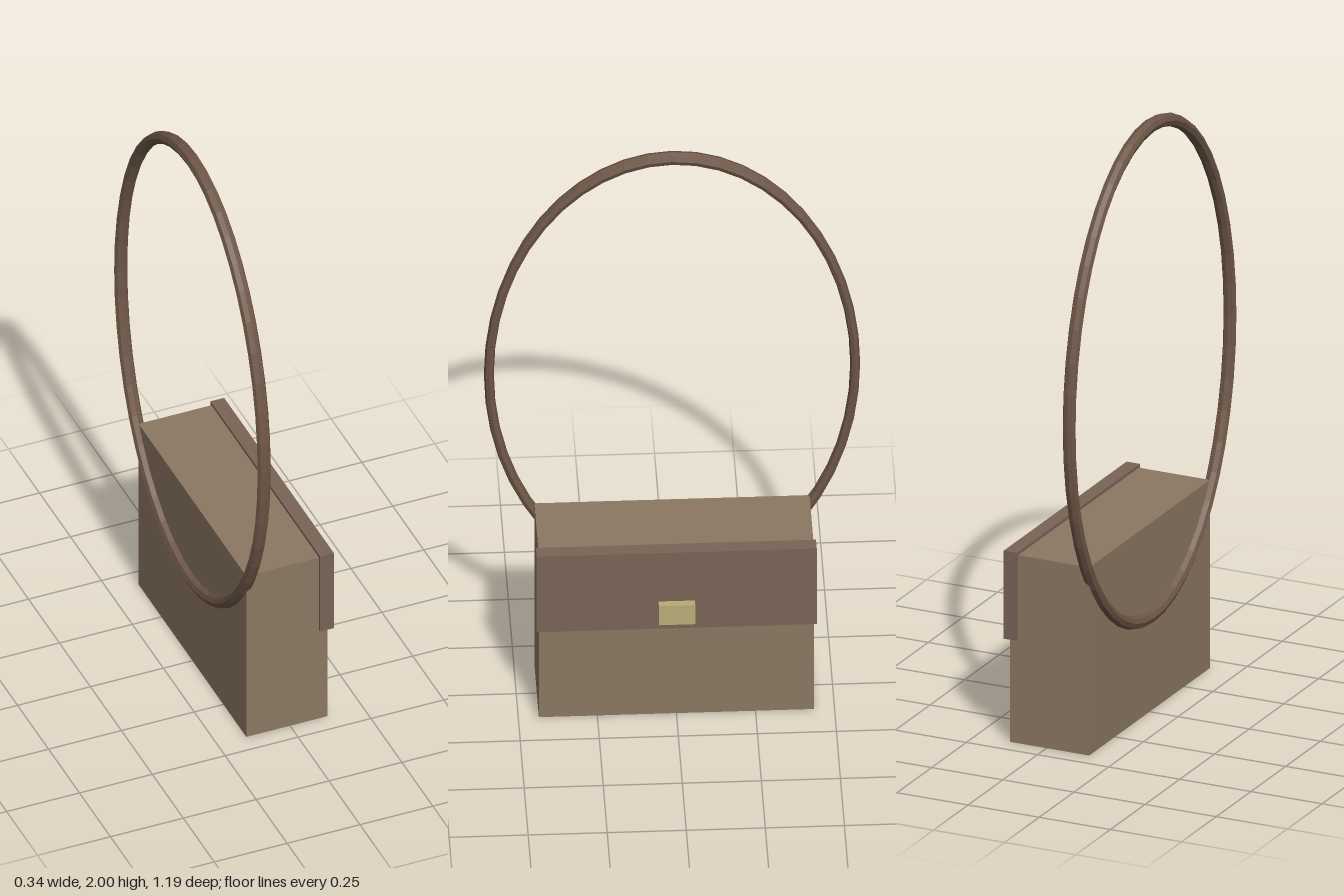
import * as THREE from 'three';

const material = (color) => new THREE.MeshStandardMaterial({ color, flatShading: true });

// Box given by its limits in x and y and its width, centred on z = 0
function box(name, [x0, x1], [y0, y1], width, mat) {
  const mesh = new THREE.Mesh(new THREE.BoxGeometry(x1 - x0, y1 - y0, width), mat);
  mesh.position.set((x0 + x1) / 2, (y0 + y1) / 2, 0);
  mesh.name = name;
  return mesh;
}

export function createModel() {
  const bag = new THREE.Group();
  bag.name = 'handbag';

  // Bag body with the front flap and its clasp, facing +x
  bag.add(
    box('body', [-0.15, 0.128], [0, 0.635], 0.87, material(0x8b7762)),
    box('flap', [0.1, 0.147], [0.348, 0.645], 0.886, material(0x7a6456)),
    box('clasp', [0.14, 0.172], [0.38, 0.455], 0.115, material(0xb8ad78)),
  );

  // Shoulder strap: an oval ring whose lower part lies against the back
  const ring = new THREE.TorusGeometry(0.8275, 0.0225, 8, 48);
  ring.scale(0.7, 1, 1);
  ring.rotateY(Math.PI / 2);
  const strap = new THREE.Mesh(ring, material(0x6e5747));
  strap.position.set(-0.15, 1.15, 0);
  strap.name = 'strap';
  bag.add(strap);

  return bag;
}
